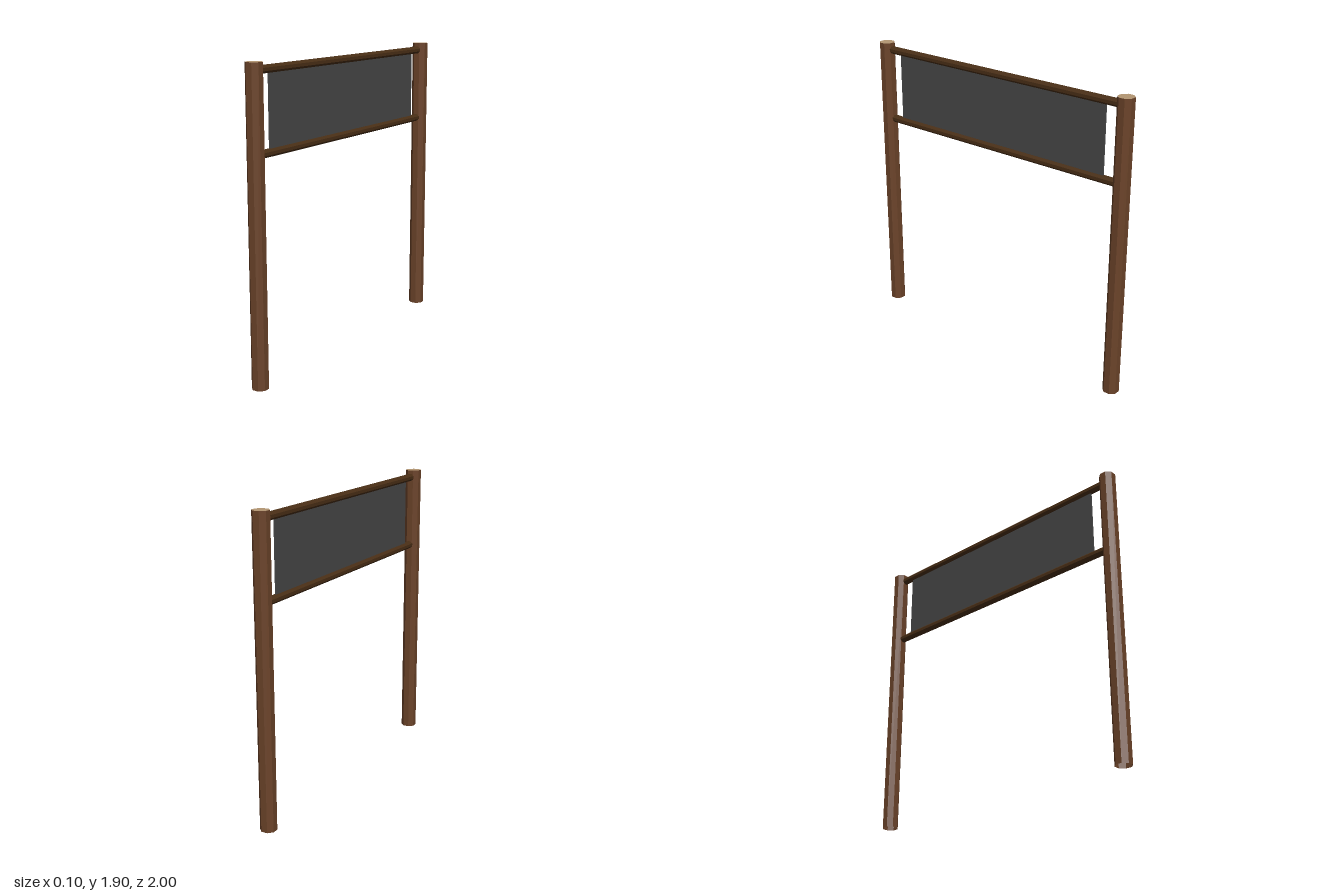
import * as THREE from 'three';

const material = (color, side = THREE.FrontSide) =>
  new THREE.MeshStandardMaterial({ color, side, flatShading: true });

// Octagonal bar along y with its flats facing the axes
function octagon(apothem, length, open) {
  const radius = apothem / Math.cos(Math.PI / 8);
  return new THREE.CylinderGeometry(radius, radius, length, 8, 1, open).rotateY(Math.PI / 8);
}

export function createModel() {
  const group = new THREE.Group();
  const bark = material(0x6b4329, THREE.DoubleSide);
  const cutWood = material(0xb39673);
  const railWood = material(0x4a2f16);
  const cloth = material(0x484848);

  const add = (name, geometry, mat, x, y, z) => {
    const mesh = new THREE.Mesh(geometry, mat);
    mesh.name = name;
    mesh.position.set(x, y, z);
    group.add(mesh);
    return mesh;
  };

  const postHeight = 1.905, postHalf = 0.048, postZ = 0.952;

  // Two posts, open underneath, with pale cut tops
  for (const [label, side] of [['front', 1], ['back', -1]]) {
    add(label + 'Post', octagon(postHalf, postHeight, true), bark, 0, postHeight / 2, side * postZ);
    const top = new THREE.CircleGeometry(postHalf / Math.cos(Math.PI / 8), 8, Math.PI / 8);
    add(label + 'PostTop', top.rotateX(-Math.PI / 2), cutWood, 0, postHeight, side * postZ);
  }

  // Horizontal rails between the posts
  for (const [name, y] of [['topRail', 1.858], ['bottomRail', 1.383]]) {
    add(name, octagon(0.023, 2 * (postZ - 0.03), false).rotateX(Math.PI / 2), railWood, 0, y, 0);
  }

  // Thin dark panel held between the rails
  add('panel', new THREE.BoxGeometry(0.01, 0.475, 1.645), cloth, 0, 1.62, 0);

  return group;
}
